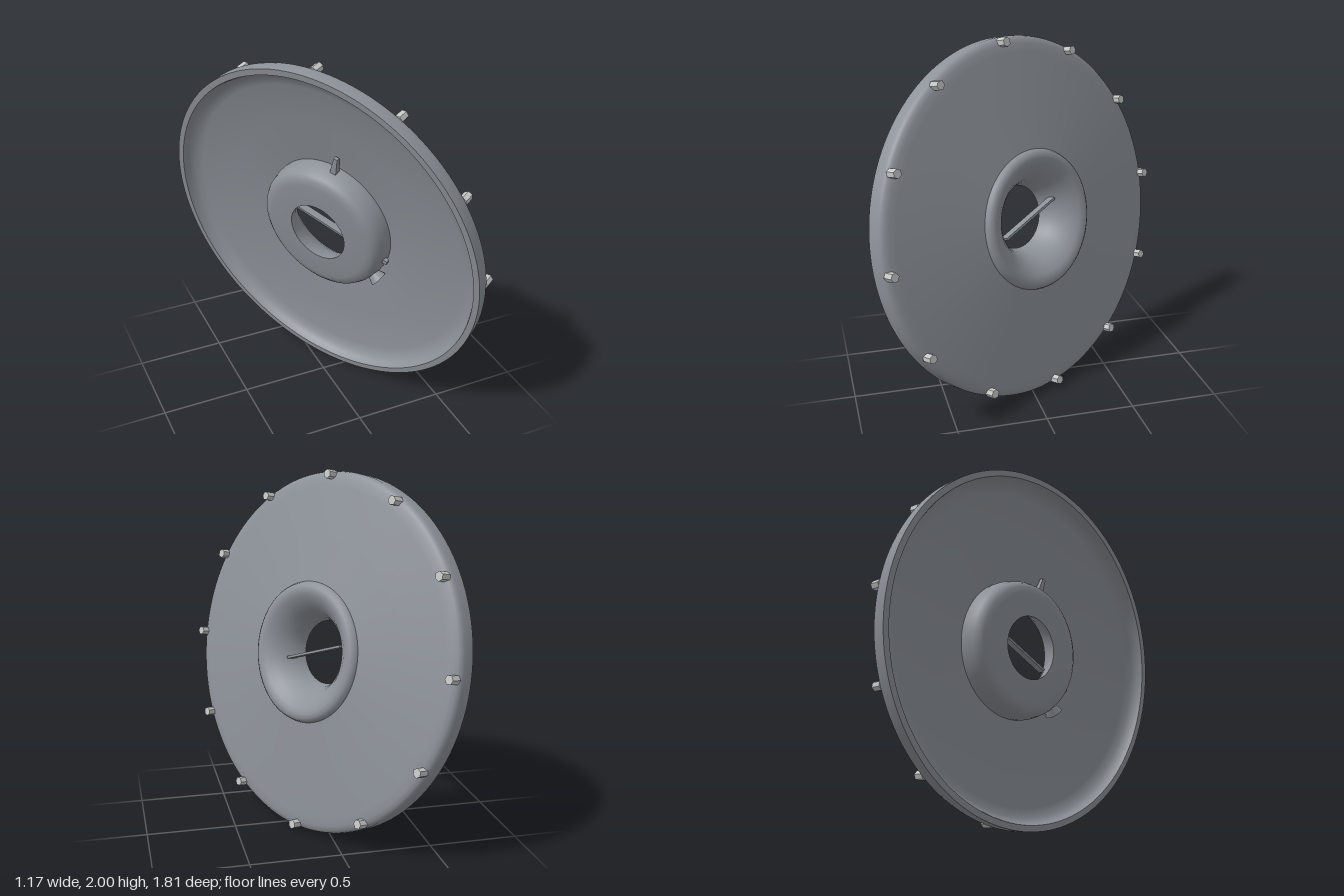
import * as THREE from 'three';
import { toCreasedNormals } from 'three/addons/utils/BufferGeometryUtils.js';

export function createModel() {
  const steel = new THREE.MeshStandardMaterial({ color: 0x8d9299 });
  steel.name = 'steel grey';
  const boltMetal = new THREE.MeshStandardMaterial({ color: 0xc6c8c8 });
  boltMetal.name = 'light bolt metal';

  // the wheel is built around the y axis, then tilted as a whole
  const wheel = new THREE.Group();
  wheel.name = 'wheel';

  function add(name, geometry, material) {
    const mesh = new THREE.Mesh(geometry, material);
    mesh.name = name;
    wheel.add(mesh);
    return mesh;
  }

  function turned(name, profile, crease) {
    const points = profile.map(([r, y]) => new THREE.Vector2(r, y));
    const geometry = new THREE.LatheGeometry(points, 128);
    return add(name, toCreasedNormals(geometry, crease), steel);
  }

  // place a mesh at an angle on the wheel, with its own z axis pointing outwards
  function place(mesh, angle, radius, y) {
    mesh.position.set(Math.sin(angle) * radius, y, Math.cos(angle) * radius);
    mesh.rotation.y = angle;
    return mesh;
  }

  // shallow dish with a rounded rim, hollow on the front
  turned('dish', [
    [0.97, -0.06], [1.005, -0.06], [1.005, 0.005], [1.0, 0.022], [0.988, 0.035],
    [0.965, 0.044], [0.92, 0.05], [0.65, 0.08], [0.37, 0.112],
    [0.37, 0.08], [0.65, 0.045], [0.88, 0.015], [0.93, 0.0], [0.958, -0.028], [0.97, -0.06],
  ], 0.7);

  // rounded hub with a funnel-shaped hole
  turned('hub', [
    [0.178, -0.06], [0.31, -0.06], [0.345, -0.054], [0.368, -0.038], [0.383, -0.01],
    [0.394, 0.05], [0.391, 0.11], [0.382, 0.13], [0.365, 0.142], [0.34, 0.145],
    [0.31, 0.134], [0.27, 0.105], [0.23, 0.063], [0.2, 0.012], [0.185, -0.03], [0.178, -0.06],
  ], 0.7);

  // ring of hexagonal bolts
  for (let i = 0; i < 12; i++) {
    const geometry = toCreasedNormals(new THREE.CylinderGeometry(0.026, 0.026, 0.06, 6), 0.3);
    place(add('bolt', geometry, boltMetal), (i * Math.PI) / 6, 0.98, 0.057);
  }

  // thin vane across the hole
  const vane = add('vane', new THREE.BoxGeometry(0.014, 0.045, 0.42), steel);
  place(vane, Math.atan2(-0.96, 0.28), 0, 0.037);

  // small fittings on the hub's edge: tapered lever, peg and nozzle
  const leverGeometry = new THREE.CylinderGeometry(0.016, 0.03, 0.13, 4, 1);
  leverGeometry.rotateY(Math.PI / 4).rotateX(Math.PI / 2);
  place(add('lever', toCreasedNormals(leverGeometry, 0.3), steel), 0.2, 0.42, 0.04);

  place(add('peg', new THREE.BoxGeometry(0.025, 0.025, 0.04), steel), 1.85, 0.395, 0.03);

  const nozzleGeometry = new THREE.CylinderGeometry(0.05, 0.03, 0.05, 24);
  nozzleGeometry.rotateX(Math.PI / 2);
  place(add('nozzle', toCreasedNormals(nozzleGeometry, 0.7), steel), 2.25, 0.405, 0.03);

  // tilt: the wheel's axis points to the left, slightly up and back
  const axis = new THREE.Vector3(0.85, 0.177, -0.496).normalize();
  const up = new THREE.Vector3(-0.133, 0.984, 0.123);
  const side = new THREE.Vector3().crossVectors(axis, up).normalize();
  up.crossVectors(side, axis);
  wheel.quaternion.setFromRotationMatrix(new THREE.Matrix4().makeBasis(side, axis, up));
  wheel.position.y = 1;

  const model = new THREE.Group();
  model.name = 'model';
  model.add(wheel);
  return model;
}
